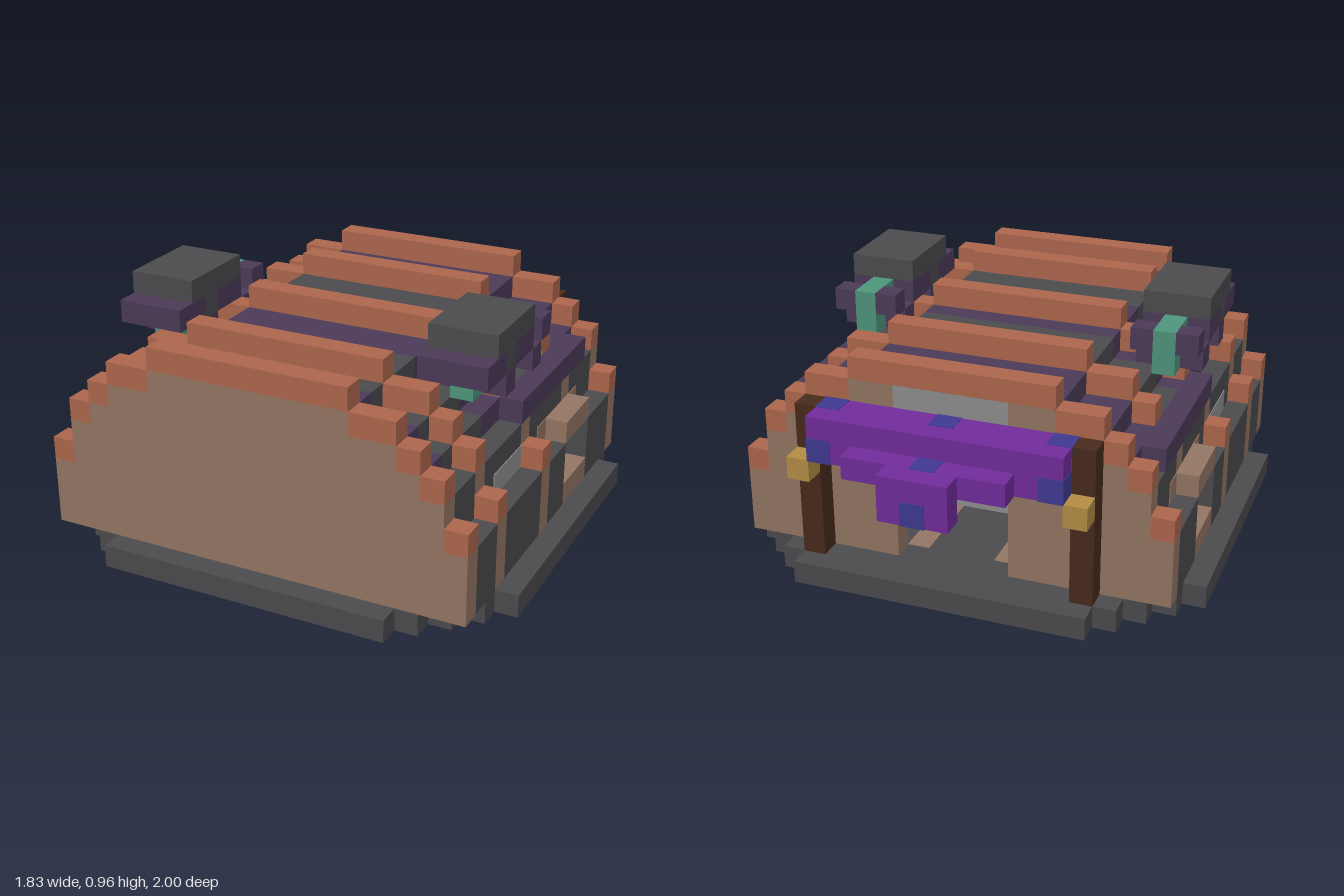
import * as THREE from 'three';

const U = 2 / 23; // one block
const paint = (name, color) => {
  const m = new THREE.MeshStandardMaterial({ color });
  m.name = name;
  return m;
};

export function createModel() {
  const model = new THREE.Group();
  model.name = 'blockHall';
  const slate = paint('slate', 0x4b4b4e), plum = paint('plum', 0x4b3a58);
  const clay = paint('clay', 0x937563), rust = paint('rust', 0xad664c);
  const teal = paint('teal', 0x4e957c), silver = paint('silver', 0x8e8e8e);
  const violet = paint('violet', 0x702c9a), blue = paint('blue', 0x3f3990);
  const timber = paint('timber', 0x472a1c), brass = paint('brass', 0xb38c44);

  // Box from block coordinates
  const box = (name, mat, x0, x1, y0, y1, z0, z1) => {
    const g = new THREE.BoxGeometry((x1 - x0) * U, (y1 - y0) * U, (z1 - z0) * U);
    const m = new THREE.Mesh(g, mat);
    m.position.set((x0 + x1) * U / 2, (y0 + y1) * U / 2, (z0 + z1) * U / 2);
    m.name = name;
    model.add(m);
  };
  // Same box on both sides
  const pair = (name, mat, x0, x1, ...r) => {
    box(name + 'Left', mat, x0, x1, ...r);
    box(name + 'Right', mat, -x1, -x0, ...r);
  };

  // Stepped foundation
  box('foundation', slate, -6.5, 6.5, 0, 1, -9.5, 11.5);
  [[6.5, -8.5, 10.5], [7.5, -7.5, 9.5], [8.5, -6.5, 8.5], [9.5, -5.5, 7.5]].forEach(([x, z0, z1]) =>
    pair('foundationStep', slate, x, x + 1, 0, 1, z0, z1));
  pair('floorStrip', clay, 1.5, 2.5, -0.03, 1.03, -6.5, 9.5);

  // Front gable: stacked courses
  [[9.5, 1, 4], [8.5, 4, 6], [7.5, 6, 7], [6.5, 7, 8], [4.5, 8, 9]].forEach(([x, y0, y1]) => {
    box('frontGable', clay, -x, x, y0, y1, 9.5, 10.5);
    // Back gable with a doorway and a pane above it
    pair('backGable', clay, 2.5, x, y0, y1, -7.5, -6.5);
  });
  box('backPane', silver, -2.5, 2.5, 4, 9, -7.5, -6.5);

  // Ribs: rust coping over clay posts
  const coping = (z, low) => {
    if (low) {
      pair('ribCoping', rust, 8.5, 9.5, 4, 5, z, z + 1);
      pair('ribCoping', rust, 7.5, 8.5, 6, 7, z, z + 1);
    }
    pair('ribCoping', rust, 6.5, 7.5, 7, 8, z, z + 1);
    pair('ribCoping', rust, 4.5, 6.5, 8, 9, z, z + 1);
    box('ribCopingTop', rust, -4.5, 4.5, 9, 10, z, z + 1);
  };
  [9.5, 6.5, 1.5, -7.5].forEach(z => coping(z, true));
  coping(-3.5, false);
  [6.5, 1.5, -3.5].forEach(z => {
    if (z > 0) pair('ribPost', clay, 8.5, 9.5, 1, 4, z, z + 1);
    pair('ribPost', clay, 7.5, 8.5, 4, 6, z, z + 1);
    pair('ribRafter', clay, 5.5, 7.5, 6, 7, z, z + 1);
    pair('ribRafter', clay, 3.5, 6.5, 7, 8, z, z + 1);
    box('ribRafterTop', clay, -4.5, 4.5, 8, 9, z, z + 1);
  });

  // Side walls between ribs
  [[-6.5, -3.5], [-0.5, 1.5], [2.5, 6.5], [7.5, 9.5]].forEach(([a, b]) =>
    pair('lowerWall', slate, 8.5, 9.5, 1, 4, a, b));
  [[-6.5, -3.5], [-2.5, 1.5], [2.5, 6.5], [7.5, 9.5]].forEach(([a, b]) =>
    pair('upperWall', slate, 7.5, 8.5, 4, 6, a, b));

  // Stepped roof strips between ribs
  [[-6.5, -3.5, plum], [-2.5, 0.5, slate], [0.5, 1.5, plum], [2.5, 4.5, plum],
    [4.5, 6.5, slate], [7.5, 8.5, slate], [8.5, 9.5, plum]].forEach(([a, b, m]) => {
    pair('roofEave', m, 5.5, 7.5, 6, 7, a, b);
    pair('roofSlope', m, 3.5, 6.5, 7, 8, a, b);
    box('roofTop', m, -4.5, 4.5, 8, 9, a, b);
  });
  pair('eaveBeam', plum, 7.5, 8.53, 6, 7.03, -5.5, 2.53);

  // Side windows
  pair('slitWindow', silver, 8.45, 8.54, 4, 5, 2.5, 5.5);
  pair('bayWindow', teal, 7.5, 8.5, 2, 4, -3.5, -0.5);
  pair('baySill', clay, 8.5, 9.5, 1, 2, -3.5, -0.5);
  pair('bayHood', clay, 8.5, 9.5, 4, 5, -3.5, -0.5);
  pair('bayHoodEnds', clay, 8.4, 8.54, 4, 5, -4.5, 0.5);

  // Roof turrets
  pair('turretCap', slate, 5.5, 8.5, 10, 11, 1.5, 5.5);
  pair('turretCore', slate, 5.5, 8.5, 9, 10, 3.5, 4.5);
  pair('turretFront', plum, 5.5, 8.5, 9, 10, 4.5, 6.5);
  pair('turretBack', plum, 5.5, 8.5, 9, 10, 1.5, 3.5);
  [[-0.5, 0.5], [1.5, 3.5], [4.5, 5.5]].forEach(([a, b]) =>
    pair('turretStem', teal, 6.5, 7.5, 8, 9, a, b));
  pair('turretSpine', teal, 6.5, 7.5, 9, 10, -0.5, 1.5);
  [5.5, 7.5].forEach(x => {
    pair('turretFoot', plum, x, x + 1, 8, 9, 3.5, 4.5);
    pair('turretFoot', plum, x, x + 1, 8, 9, 0.5, 1.5);
    pair('turretTail', plum, x, x + 1, 9, 10, -0.5, 0.5);
  });

  // Entrance posts and lanterns
  pair('entrancePost', timber, 5.5, 6.5, 1, 8, -8.5, -7.5);
  pair('lantern', brass, 5.5, 6.5, 5, 6, -9.5, -8.5);

  // Entrance awning stepping outwards
  box('awningTop', violet, -5.5, 5.5, 7, 8, -9.5, -7.5);
  box('awningValance', violet, -5.5, 5.5, 6, 7, -9.5, -8.5);
  box('awningMiddle', violet, -3.5, 3.5, 6, 7, -10.5, -9.5);
  box('awningTip', violet, -1.5, 1.5, 5, 7, -11.5, -10.5);
  // Blue patches, slightly proud of the cloth
  const e = 0.03;
  [[5, 7, -8], [-5, 7, -8], [0, 7, -8], [5, 6, -9], [-5, 6, -9], [0, 6, -10], [0, 5, -11]].forEach(([x, y, z]) =>
    box('awningPatch', blue, x - 0.5 - e, x + 0.5 + e, y - e, y + 1 + e, z - 0.5 - e, z + 0.5 + e));

  return model;
}
